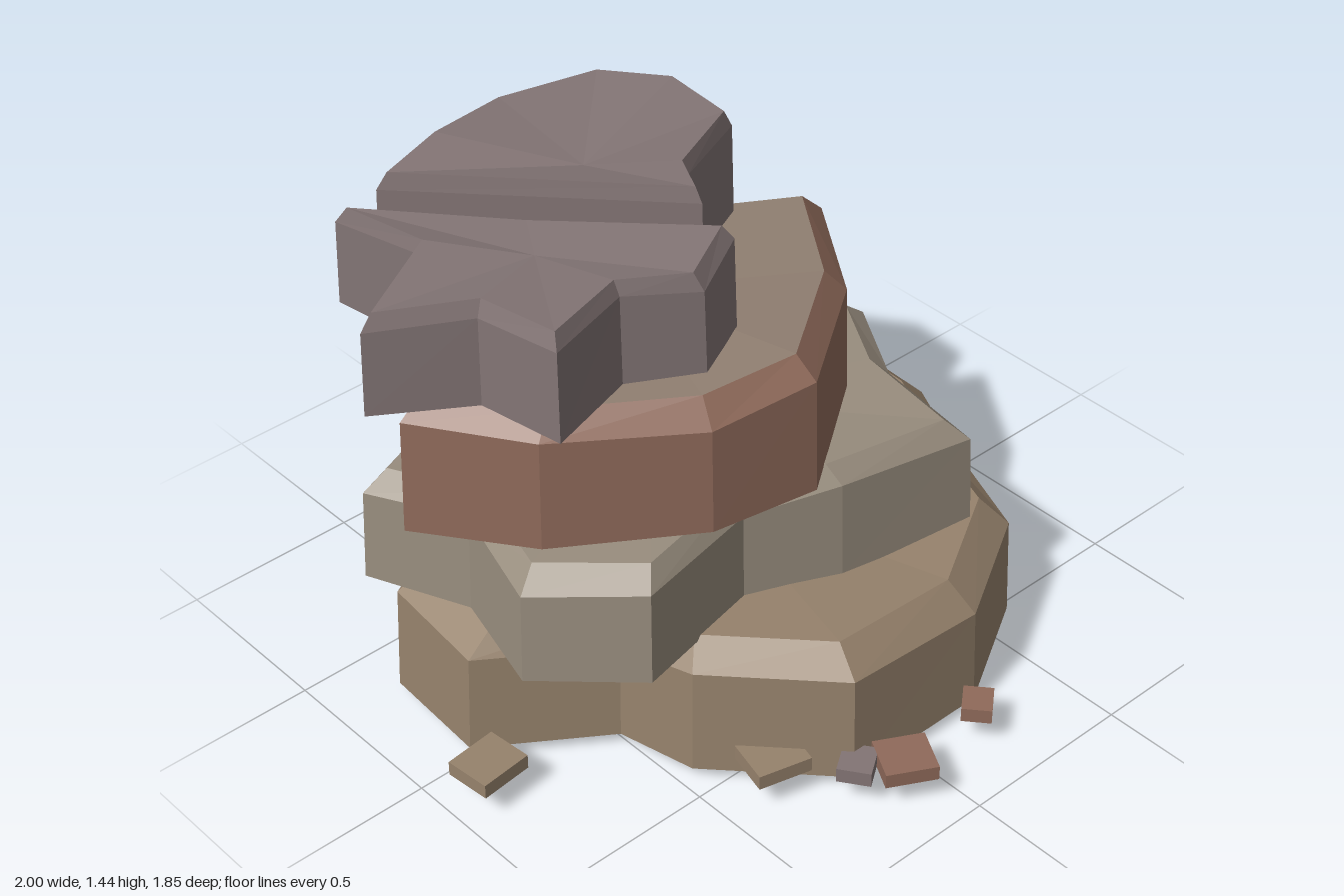
import * as THREE from 'three';

const stone = (color) =>
  new THREE.MeshStandardMaterial({ color, flatShading: true, side: THREE.DoubleSide });

const tan = stone(0x96826c);
const grey = stone(0x988d7e);
const red = stone(0x8f6a5a);
const mauve = stone(0x827474);
const dust = stone(0x907f71);

function facets(name, material, positions) {
  const geometry = new THREE.BufferGeometry();
  geometry.setAttribute('position', new THREE.Float32BufferAttribute(positions, 3));
  geometry.computeVertexNormals();
  const mesh = new THREE.Mesh(geometry, material);
  mesh.name = name;
  return mesh;
}

// A rock slab, open below: outline walls, a sloping bevel and a fanned cap.
// outline runs front, right, back, left; y = [base, shoulder, rim, centre]
function slab(name, material, capMaterial, outline, [cx, cz], y, inset) {
  const ring = (scale, height, wobble) => outline.map(([x, z], i) => [
    cx + (x - cx) * scale,
    height + wobble * Math.sin(i * 2.3 + height * 5),
    cz + (z - cz) * scale,
  ]);
  const rings = [ring(1, y[0], 0), ring(0.985, y[1], 0.015), ring(inset, y[2], 0.01)];
  const n = outline.length;
  const walls = [], cap = [];
  for (let i = 0; i < n; i++) {
    const j = (i + 1) % n;
    for (let r = 0; r < 2; r++) {
      const a = rings[r][i], b = rings[r][j], c = rings[r + 1][j], d = rings[r + 1][i];
      walls.push(...a, ...b, ...c, ...a, ...c, ...d);
    }
    cap.push(...rings[2][i], ...rings[2][j], cx, y[3], cz);
  }
  const group = new THREE.Group();
  group.name = name;
  group.add(facets('walls', material, walls), facets('cap', capMaterial, cap));
  return group;
}

export function createModel() {
  const model = new THREE.Group();
  model.name = 'layeredRock';

  // Stacked layers, bottom to top
  model.add(slab('bottomLayer', tan, tan, [
    [-0.19, 0.74], [0.25, 0.74], [0.58, 0.55], [0.68, 0.28], [0.85, -0.04], [0.84, -0.35],
    [0.29, -0.64], [-0.14, -0.69], [-0.82, -0.32], [-0.84, 0], [-0.52, 0.22], [-0.47, 0.44],
  ], [0, 0], [0.04, 0.335, 0.415, 0.42], 0.88));

  model.add(slab('secondLayer', grey, grey, [
    [-0.6, 0.44], [-0.22, 0.36], [0.03, 0.46], [0.44, 0.52], [0.48, 0.18], [0.62, -0.06],
    [0.5, -0.29], [0.43, -0.63], [0.17, -0.69], [-0.05, -0.65], [-0.3, -0.76],
    [-0.52, -0.5], [-0.87, -0.36], [-0.75, -0.08], [-0.83, 0.22],
  ], [-0.12, -0.1], [0.41, 0.68, 0.735, 0.74], 0.9));

  model.add(slab('thirdLayer', red, dust, [
    [-0.37, 0.41], [-0.07, 0.46], [0.29, 0.2], [0.51, -0.12], [0.2, -0.29],
    [0.19, -0.6], [-0.05, -0.76], [-0.5, -0.5], [-0.6, -0.25], [-0.92, -0.1], [-0.72, 0.18],
  ], [-0.2, -0.1], [0.74, 1.05, 1.115, 1.12], 0.88));

  // Two top blocks parted by a diagonal cleft
  model.add(slab('topBlockLeft', mauve, mauve, [
    [-0.09, 0.07], [-0.02, -0.06], [0.24, -0.18], [0.24, -0.39], [0.13, -0.58],
    [-0.17, -0.64], [-0.42, -0.6], [-0.62, -0.55],
  ], [-0.2, -0.25], [1.12, 1.39, 1.435, 1.41], 0.93));

  model.add(slab('topBlockRight', mauve, mauve, [
    [-0.73, 0.28], [-0.47, 0.2], [-0.29, 0.3], [-0.11, 0.21], [-0.45, -0.17],
    [-0.76, -0.53], [-0.72, -0.26], [-1, -0.11], [-0.77, 0.04],
  ], [-0.53, -0.04], [1.12, 1.365, 1.41, 1.395], 0.92));

  // Boulder leaning on the back corner
  const boulder = new THREE.Mesh(new THREE.IcosahedronGeometry(1, 0), red);
  boulder.name = 'boulder';
  const p = boulder.geometry.attributes.position;
  for (let i = 0; i < p.count; i++) {
    const y = p.getY(i);
    p.setXYZ(i, p.getX(i) * 0.16 + y * 0.055, y * 0.132, p.getZ(i) * 0.22);
  }
  boulder.geometry.computeVertexNormals();
  boulder.position.set(0.79, 0.115, -0.39);
  model.add(boulder);

  // Loose flat stones: x, z, width, depth, turn, material
  const pebbles = [
    [-0.885, 0.135, 0.15, 0.13, 0.1, tan],
    [0.2, -0.84, 0.13, 0.11, 0.75, grey],
    [0.94, -0.27, 0.12, 0.1, -0.08, mauve],
    [-0.34, 0.6, 0.15, 0.13, -0.25, tan],
    [-0.1, 0.83, 0.14, 0.13, -0.5, red],
    [-0.2, 0.76, 0.1, 0.09, 0.6, mauve],
    [0.185, 0.81, 0.09, 0.08, 0.7, red],
  ];
  for (const [x, z, w, d, turn, material] of pebbles) {
    const pebble = new THREE.Mesh(new THREE.BoxGeometry(w, 0.042, d), material);
    pebble.name = 'pebble';
    pebble.position.set(x, 0.105, z);
    pebble.rotation.y = turn;
    model.add(pebble);
  }
  return model;
}
